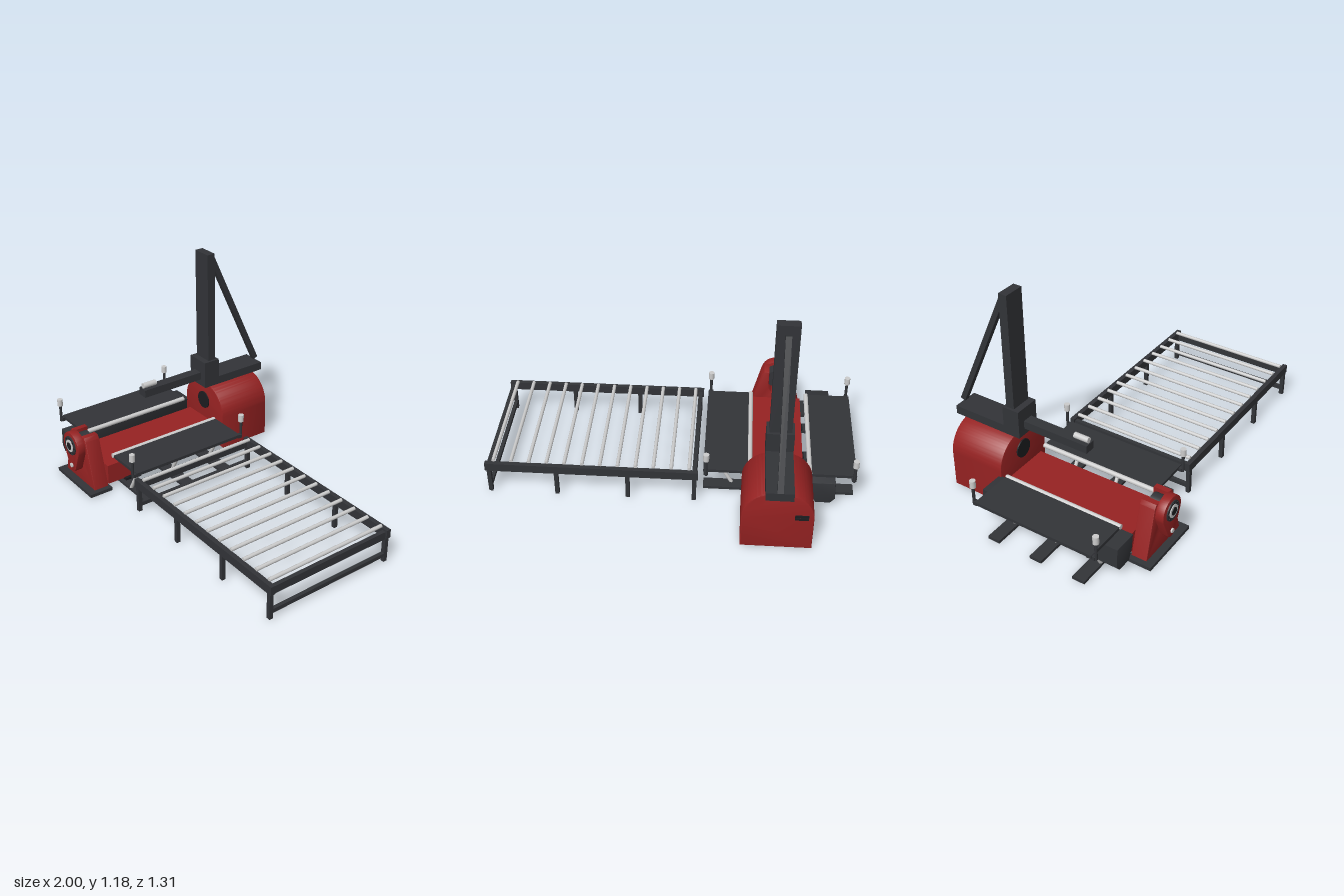
import * as THREE from 'three';
import { toCreasedNormals } from 'three/addons/utils/BufferGeometryUtils.js';

export function createModel() {
  const model = new THREE.Group();
  const red = new THREE.MeshStandardMaterial({ color: 0x962222 });
  const dark = new THREE.MeshStandardMaterial({ color: 0x323438 });
  const black = new THREE.MeshStandardMaterial({ color: 0x1c1d20 });
  const steel = new THREE.MeshStandardMaterial({ color: 0xcccccc });
  const CX = -0.573; // centre line of the machine

  function add(name, geometry, material, parent = model) {
    const mesh = new THREE.Mesh(geometry, material);
    mesh.name = name;
    parent.add(mesh);
    return mesh;
  }
  // Box given by its extents on each axis
  function box(name, [x0, x1], [y0, y1], [z0, z1], material, parent) {
    const mesh = add(name, new THREE.BoxGeometry(x1 - x0, y1 - y0, z1 - z0), material, parent);
    mesh.position.set((x0 + x1) / 2, (y0 + y1) / 2, (z0 + z1) / 2);
    return mesh;
  }
  // Cylinder between two points
  function rod(name, a, b, r, material, parent, sides = 20) {
    const p = new THREE.Vector3(...a), q = new THREE.Vector3(...b);
    const d = q.clone().sub(p);
    const mesh = add(name, new THREE.CylinderGeometry(r, r, d.length(), sides), material, parent);
    mesh.position.copy(p).add(q).multiplyScalar(0.5);
    mesh.quaternion.setFromUnitVectors(new THREE.Vector3(0, 1, 0), d.normalize());
    return mesh;
  }
  // Front-facing outline pushed from z0 to z1, with a small bevel
  function plate(name, shape, z0, z1, material, parent, bevel = 0.004) {
    const geometry = new THREE.ExtrudeGeometry(shape, {
      depth: z1 - z0 - 2 * bevel, curveSegments: 16, bevelEnabled: bevel > 0,
      bevelThickness: bevel, bevelSize: bevel, bevelOffset: -bevel, bevelSegments: 2,
    });
    const mesh = add(name, toCreasedNormals(geometry, 0.5), material, parent);
    mesh.position.z = z0 + bevel;
    return mesh;
  }
  const polygon = (points) => new THREE.Shape(points.map(([x, y]) => new THREE.Vector2(x, y)));
  function group(name) {
    const g = new THREE.Group();
    g.name = name;
    model.add(g);
    return g;
  }

  // Headstock housing with a rounded top
  const head = group('headstock');
  const hw = 0.185, hr = 0.16, top = 0.37;
  const arch = new THREE.Shape();
  arch.moveTo(CX - hw, 0.005);
  arch.lineTo(CX + hw, 0.005);
  arch.lineTo(CX + hw, top - hr);
  arch.absarc(CX + hw - hr, top - hr, hr, 0, Math.PI / 2, false);
  arch.lineTo(CX - hw + hr, top);
  arch.absarc(CX - hw + hr, top - hr, hr, Math.PI / 2, Math.PI, false);
  plate('headstockHousing', arch, -0.59, -0.265, red, head, 0.006);
  rod('spindleFace', [CX, 0.255, -0.268], [CX, 0.255, -0.258], 0.052, black, head, 32);
  for (const y of [0.203, 0.221]) {
    box('ventSlot', [-0.73, -0.66], [y, y + 0.013], [-0.595, -0.585], black, head);
  }

  // Bed joining the headstock and tailstock
  box('bed', [-0.72, -0.428], [0.025, 0.14], [-0.27, 0.5], red);
  box('bedEnd', [CX - 0.08, CX + 0.08], [0.08, 0.12], [0.49, 0.525], red);

  // Tailstock: slotted pedestal, teardrop plate and spindle
  const tail = group('tailstock');
  box('tailstockBase', [-0.757, -0.39], [0.003, 0.022], [0.5, 0.637], dark, tail);
  const pedestal = polygon([
    [CX - 0.155, 0.02], [CX + 0.155, 0.02], [CX + 0.085, 0.295], [CX + 0.07, 0.315],
    [CX + 0.04, 0.315], [CX + 0.04, 0.2], [CX + 0.02, 0.17], [CX - 0.02, 0.17],
    [CX - 0.04, 0.2], [CX - 0.04, 0.315], [CX - 0.07, 0.315], [CX - 0.085, 0.295],
  ]);
  plate('tailstockPedestal', pedestal, 0.508, 0.596, red, tail);
  const tear = new THREE.Shape();
  tear.absarc(CX, 0.25, 0.083, -0.3, Math.PI + 0.3, false);
  tear.absarc(CX, 0.13, 0.037, Math.PI + 0.3, 2 * Math.PI - 0.3, false);
  plate('teardropPlate', tear, 0.594, 0.642, red, tail);
  rod('spindleHub', [CX, 0.255, 0.53], [CX, 0.255, 0.648], 0.055, dark, tail, 32);
  rod('spindleRing', [CX, 0.255, 0.64], [CX, 0.255, 0.652], 0.036, steel, tail, 32);
  rod('spindleCore', [CX, 0.255, 0.64], [CX, 0.255, 0.655], 0.022, black, tail, 24);
  for (let i = 0; i < 8; i++) {
    const a = (i / 8) * Math.PI * 2, x = CX + 0.046 * Math.cos(a), y = 0.255 + 0.046 * Math.sin(a);
    rod('hubBolt', [x, y, 0.645], [x, y, 0.651], 0.005, black, tail, 10);
  }
  rod('lockPin', [CX, 0.13, 0.63], [CX, 0.13, 0.65], 0.013, steel, tail);

  // Ground bars running under the bed
  for (const z of [0.385, 0.13, -0.13]) {
    box('groundBar', [-1, -0.18], [0, 0.016], [z - 0.035, z + 0.035], dark);
    box('bedBracket', [-0.74, -0.41], [0.016, 0.03], [z - 0.035, z + 0.012], black);
  }

  // Side tables, mirrored about the machine, with struts, shafts and corner posts
  const MX = -0.59;
  for (const s of [-1, 1]) {
    const side = group(s > 0 ? 'leftTable' : 'rightTable');
    const span = (a, b) => [MX + s * a, MX + s * b].sort((p, q) => p - q);
    box('tableTop', span(0.165, 0.408), [0.183, 0.2], [-0.235, 0.462], dark, side);
    rod('tableShaft', [MX + s * 0.16, 0.194, -0.235], [MX + s * 0.16, 0.194, 0.465], 0.013, steel, side);
    for (const z of [0.41, 0.147, -0.115]) {
      rod('strut', [MX + s * 0.255, 0.014, z], [MX + s * 0.353, 0.185, z], 0.01, steel, side, 14);
    }
    for (const z of [-0.253, 0.48]) {
      const x = MX + s * 0.393;
      rod('post', [x, 0.175, z], [x, 0.28, z], 0.008, dark, side, 14);
      rod('postCap', [x, 0.277, z], [x, 0.318, z], 0.016, steel, side);
      box('postArm', [x - 0.012, x + 0.012], [0.175, 0.195], [Math.min(z, z * 0.9), Math.max(z, z * 0.9)], dark, side);
    }
  }

  // Drive housing under the outer table
  const drive = polygon([[-0.89, 0.075], [-0.865, 0.045], [-0.785, 0.045], [-0.76, 0.1], [-0.75, 0.182], [-0.885, 0.182]]);
  plate('driveHousing', drive, -0.283, 0.533, dark, model, 0.003);

  // Mast with its platform, carriage, arm and rear brace
  const mast = group('mast');
  box('mastPlatform', [CX - 0.071, CX + 0.071], [0.372, 0.42], [-0.64, -0.225], dark, mast);
  box('mastCarriage', [CX - 0.072, CX + 0.072], [0.378, 0.533], [-0.322, -0.222], dark, mast);
  box('mastColumn', [CX - 0.058, CX + 0.058], [0.53, 1.18], [-0.307, -0.258], dark, mast);
  box('arm', [CX - 0.03, CX + 0.03], [0.413, 0.458], [-0.23, 0.165], dark, mast);
  rod('armHandle', [CX, 0.475, 0.075], [CX, 0.475, 0.16], 0.016, steel, mast);
  const lean = Math.atan2(0.315, 0.7);
  const brace = add('brace', new THREE.BoxGeometry(0.03, 0.775, 0.03), dark, mast);
  brace.position.set(CX, 0.782, -0.483);
  brace.rotation.x = lean;

  // Roller table
  const rollers = group('rollerTable');
  for (const z of [-0.253, 0.483]) {
    box('sideRail', [-0.155, 0.998], [0.145, 0.193], [z - 0.013, z + 0.013], dark, rollers);
    for (const x of [-0.135, 0.225, 0.612, 0.978]) {
      box('leg', [x - 0.011, x + 0.011], [0, 0.15], [z - 0.011, z + 0.011], dark, rollers);
    }
  }
  for (const x of [-0.135, 0.978]) {
    box('endRail', [x - 0.011, x + 0.011], [0.14, 0.183], [-0.25, 0.48], dark, rollers);
    box('lowerCrossbar', [x - 0.01, x + 0.01], [0.03, 0.052], [-0.25, 0.48], dark, rollers);
  }
  for (let i = 0; i < 12; i++) {
    const x = -0.107 + 0.0963 * i;
    rod('roller', [x, 0.199, -0.242], [x, 0.199, 0.472], 0.01, steel, rollers, 16);
  }
  return model;
}
